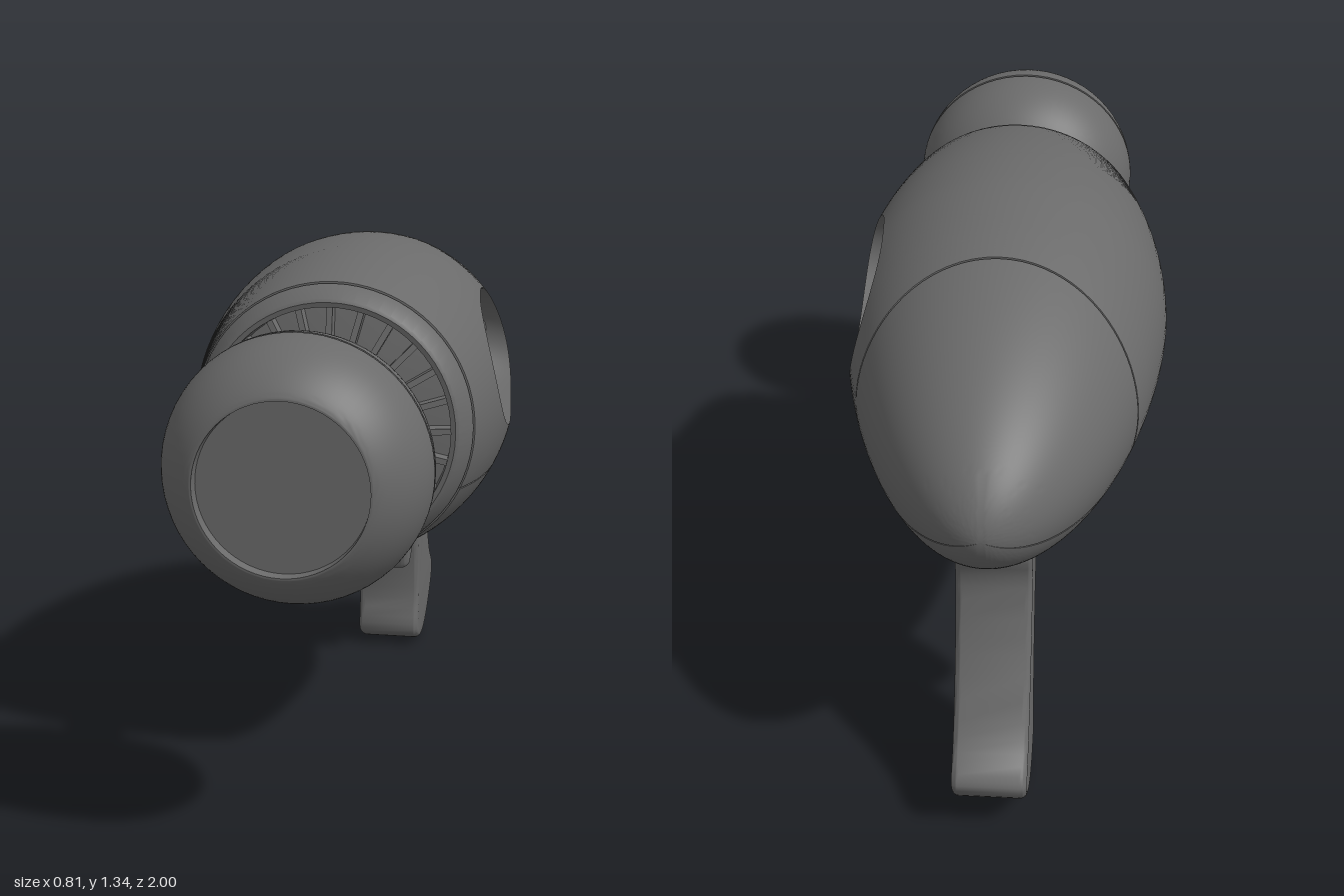
import * as THREE from 'three';
import { ParametricGeometry } from 'three/addons/geometries/ParametricGeometry.js';
import { toCreasedNormals } from 'three/addons/utils/BufferGeometryUtils.js';

const { lerp } = THREE.MathUtils;
const AXIS = 0.938;
const mat = new THREE.MeshStandardMaterial({ color: 0x6a6a6a });
const matDouble = new THREE.MeshStandardMaterial({ color: 0x6a6a6a, side: THREE.DoubleSide });

// Egg-shaped hull with a blunt tail: radius and centre height along z
const radius = (z) => z > -0.07
  ? 0.407 - 0.059 * ((z + 0.07) / 0.44) ** 2
  : 0.407 * Math.max(0, 1 - ((-0.07 - z) / 0.93) ** 1.6) ** 0.55;
const centreY = (z) => AXIS - 0.02 * Math.max(0, -z - 0.3);

function hullPoint(theta, z, dip, target) {
  const r = Math.max(0, radius(z) - dip);
  return target.set(r * Math.cos(theta), centreY(z) + r * Math.sin(theta), z);
}

// Panel limits
const SEAM_LOW = -0.45, SEAM_HIGH = Math.PI + 0.45;
const GROOVE = 0.01;
const frontZ = () => 0.365;
const seamZ = (theta) => -0.4 - 0.1 * Math.cos(theta) ** 2;
const tipZ = () => -1;

// Oval window in the left flank
const hole = { z: -0.11, y: 1.025, a: 0.28, b: 0.175, theta: 0.22 };
function holeRim(angle) {
  const z = hole.z + hole.a * Math.cos(angle);
  const y = hole.y + hole.b * Math.sin(angle);
  return { z, y, theta: Math.asin((y - centreY(z)) / radius(z)) };
}

function add(group, name, geometry, material = mat) {
  const mesh = new THREE.Mesh(geometry, material);
  mesh.name = name;
  group.add(mesh);
  return mesh;
}

const crease = (geometry, angle = 0.6) => toCreasedNormals(geometry, angle);

// Lathe around the z axis from [radius, z] pairs, back to front
function latheZ(points, segments = 64) {
  const g = new THREE.LatheGeometry(points.map(([r, z]) => new THREE.Vector2(r, z)), segments);
  g.rotateX(Math.PI / 2);
  g.translate(0, AXIS, 0);
  return crease(g);
}

// First and last grid steps are tiny so that panel edges fold into a groove
const EDGE = 0.004;
function edgeStep(t, n) {
  if (t <= 1 / n) return t * n * EDGE;
  if (t >= 1 - 1 / n) return 1 - (1 - t) * n * EDGE;
  return EDGE + (1 - 2 * EDGE) * (t - 1 / n) / (1 - 2 / n);
}
const atEdge = (t) => t < 0.0005 || t > 0.9995;

function panel(th0, th1, zA, zB, ease = false) {
  const nu = 40, nv = 56;
  return crease(new ParametricGeometry((u, v, target) => {
    const s = edgeStep(u, nu), w = edgeStep(v, nv);
    const theta = lerp(th0, th1, w);
    const z = lerp(zA(theta), zB(theta), ease ? s * (2 - s) : s);
    hullPoint(theta, z, atEdge(s) || atEdge(w) ? GROOVE : 0, target);
  }, nu, nv));
}

// Panel spun out from the window rim to its four borders
function windowPanel(th0, th1, zA, zB) {
  const rows = 40, corners = [[1, 1], [1, 0], [0, 0], [0, 1], [1, 1]];
  return crease(new ParametricGeometry((u, v, target) => {
    const t = u >= 1 - 1 / rows ? 1 - (1 - u) * rows * EDGE : u * (1 - EDGE) / (1 - 1 / rows);
    const side = Math.min(3, Math.floor(v * 4)), f = v * 4 - side;
    const theta = lerp(th0, th1, lerp(corners[side][0], corners[side + 1][0], f));
    const z = lerp(zA(theta), zB(theta), lerp(corners[side][1], corners[side + 1][1], f));
    const rim = holeRim(Math.atan2((theta - hole.theta) / 0.47, (z - hole.z) / hole.a));
    hullPoint(lerp(rim.theta, theta, t), lerp(rim.z, z, t), t > 0.9995 ? GROOVE : 0, target);
  }, rows, 192));
}

// Side outline of [z, y] points, extruded across x with rounded edges
function sideExtrude(points, width, bevel, x) {
  const curve = new THREE.SplineCurve(points.map(([z, y]) => new THREE.Vector2(z, y)));
  const g = new THREE.ExtrudeGeometry(new THREE.Shape(curve.getPoints(70)), {
    depth: width - 2 * bevel, bevelEnabled: true, bevelThickness: bevel,
    bevelSize: bevel, bevelOffset: -bevel, bevelSegments: 8, curveSegments: 1,
  });
  g.translate(0, 0, bevel - width / 2);
  g.rotateY(-Math.PI / 2);
  g.translate(x, 0, 0);
  return crease(g, 0.7);
}

export function createModel() {
  const model = new THREE.Group();
  model.name = 'toyBlaster';

  // Hull panels
  const lowEnd = SEAM_LOW + Math.PI * 2;
  add(model, 'upperBody', windowPanel(SEAM_LOW, SEAM_HIGH, frontZ, seamZ));
  add(model, 'lowerBody', panel(SEAM_HIGH, lowEnd, frontZ, seamZ));
  add(model, 'upperTail', panel(SEAM_LOW, SEAM_HIGH, seamZ, tipZ, true));
  add(model, 'lowerTail', panel(SEAM_HIGH, lowEnd, seamZ, tipZ, true));

  // Bowl-shaped window recess with energy rods
  add(model, 'windowRecess', new ParametricGeometry((u, v, target) => {
    const rim = holeRim(v * Math.PI * 2);
    const shrink = Math.sqrt(Math.max(0, Math.cos(u * Math.PI / 2)));
    hullPoint(rim.theta, rim.z, 0, target);
    target.set(
      lerp(target.x, 0.1, Math.sin(u * Math.PI / 2)),
      lerp(hole.y, rim.y, shrink),
      lerp(hole.z, rim.z, shrink),
    );
  }, 24, 64), matDouble);
  for (const y of [1.046, 0.938]) {
    const rod = add(model, 'energyRod', new THREE.CylinderGeometry(0.049, 0.049, 0.55, 32));
    rod.rotation.x = Math.PI / 2;
    rod.position.set(0.25, y, hole.z);
  }

  // Front rim with recessed floor
  add(model, 'frontRim', latheZ([
    [0.33, 0.355], [0.335, 0.366], [0.346, 0.37], [0.342, 0.385], [0.318, 0.428], [0.31, 0.432],
    [0.298, 0.43], [0.294, 0.375], [0.13, 0.41], [0, 0.41],
  ]));

  // Radial cooling fins
  const fins = new THREE.Group();
  fins.name = 'coolingFins';
  fins.position.y = AXIS;
  const finGeometry = new THREE.BoxGeometry(0.185, 0.015, 0.05);
  finGeometry.rotateY(0.2);
  finGeometry.translate(0.205, 0, 0.405);
  for (let i = 0; i < 24; i++) {
    add(fins, 'fin', finGeometry).rotation.z = (i / 24) * Math.PI * 2;
  }
  model.add(fins);

  // Barrel collar and stem
  add(model, 'collar', latheZ([
    [0.1, 0.44], [0.138, 0.447], [0.146, 0.455], [0.144, 0.466], [0.122, 0.486], [0.112, 0.49], [0, 0.49],
  ]));
  add(model, 'barrelStem', latheZ([[0.071, 0.44], [0.071, 0.63]], 40));

  // Bulbous muzzle with a groove around its middle and a shallow front dish
  const bulge = (t, end) => end + (0.308 - end) * (1 - t * t) ** 0.8;
  const profile = [[0, 0.618]];
  for (let i = 0; i <= 20; i++) {
    const t = -Math.cos((i / 20) * Math.PI / 2);
    profile.push([bulge(t, 0.215), 0.803 + Math.min(t, -0.025) * 0.185]);
  }
  profile.push([0.294, 0.799], [0.294, 0.807]);
  for (let i = 0; i <= 20; i++) {
    const t = Math.sin((i / 20) * Math.PI / 2);
    profile.push([bulge(t, 0.2), 0.803 + Math.max(t, 0.025) * 0.197]);
  }
  profile.push([0.196, 1], [0.194, 0.972], [0, 0.972]);
  add(model, 'muzzle', latheZ(profile));

  // Grip and trigger
  add(model, 'grip', sideExtrude([
    [-0.5, 0.7], [-0.48, 0.59], [-0.545, 0.55], [-0.583, 0.48], [-0.613, 0.33], [-0.626, 0.17],
    [-0.61, 0.064], [-0.635, 0.025], [-0.72, 0], [-0.82, 0.025], [-0.92, 0.09], [-0.963, 0.145],
    [-0.955, 0.185], [-0.877, 0.267], [-0.79, 0.455], [-0.754, 0.62], [-0.775, 0.72], [-0.7, 0.78],
    [-0.58, 0.77],
  ], 0.183, 0.018, -0.009));
  add(model, 'trigger', sideExtrude([
    [-0.48, 0.6], [-0.46, 0.555], [-0.438, 0.5], [-0.444, 0.42], [-0.468, 0.315], [-0.485, 0.296],
    [-0.52, 0.304], [-0.57, 0.337], [-0.6, 0.39], [-0.61, 0.48], [-0.57, 0.58], [-0.52, 0.62],
  ], 0.163, 0.025, -0.008));

  return model;
}
